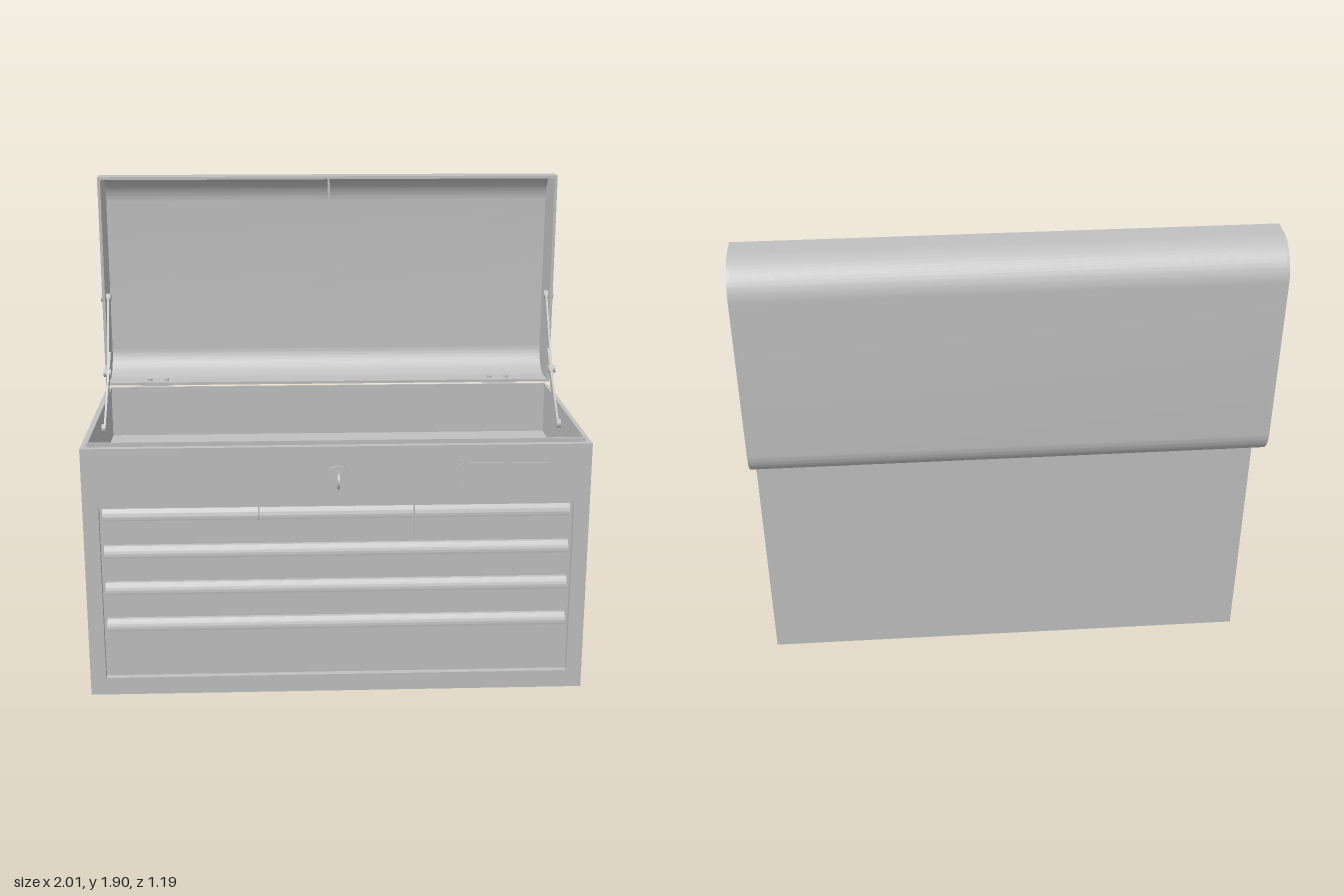
import * as THREE from 'three';
import { toCreasedNormals } from 'three/addons/utils/BufferGeometryUtils.js';

const steel = new THREE.MeshStandardMaterial({ color: 0xc0c0c0 });
steel.name = 'grey steel';

function add(parent, name, geo, x = 0, y = 0, z = 0) {
  const m = new THREE.Mesh(geo, steel);
  m.name = name;
  m.position.set(x, y, z);
  parent.add(m);
  return m;
}
// Box given by its limits
function block(parent, name, x0, x1, y0, y1, z0, z1) {
  return add(parent, name, new THREE.BoxGeometry(x1 - x0, y1 - y0, z1 - z0),
    (x0 + x1) / 2, (y0 + y1) / 2, (z0 + z1) / 2);
}
const rod = (r, len) => new THREE.CylinderGeometry(r, r, len, 24);
const rodX = (r, len) => rod(r, len).rotateZ(Math.PI / 2);
const rodZ = (r, len) => rod(r, len).rotateX(Math.PI / 2);
const dome = (r) => new THREE.SphereGeometry(r, 16, 6, 0, Math.PI * 2, 0, Math.PI / 2).scale(1, 0.5, 1);

function extrude(shape, depth) {
  const g = new THREE.ExtrudeGeometry(shape, { depth, bevelEnabled: false, curveSegments: 14 });
  return toCreasedNormals(g, 0.6);
}
// Profile drawn as (-z, y), swept along +x
const sweepX = (shape, len) => extrude(shape, len).rotateY(Math.PI / 2);
// Plan drawn as (x, -z), raised along +y
const raise = (shape, h) => extrude(shape, h).rotateX(-Math.PI / 2);
const rectPoints = (x0, x1, y0, y1) => [[x0, y0], [x1, y0], [x1, y1], [x0, y1]].map(p => new THREE.Vector2(...p));
function rectFrame(outer, inner) {
  const s = new THREE.Shape(rectPoints(...outer));
  s.holes.push(new THREE.Path(rectPoints(...inner)));
  return s;
}
function roundRect(w, h, r) {
  const s = new THREE.Shape(), a = w / 2, b = h / 2;
  s.moveTo(-a + r, -b);
  s.lineTo(a - r, -b); s.absarc(a - r, -b + r, r, -Math.PI / 2, 0);
  s.lineTo(a, b - r); s.absarc(a - r, b - r, r, 0, Math.PI / 2);
  s.lineTo(-a + r, b); s.absarc(-a + r, b - r, r, Math.PI / 2, Math.PI);
  s.lineTo(-a, -b + r); s.absarc(-a + r, -b + r, r, Math.PI, Math.PI * 1.5);
  return s;
}

function makeBody() {
  const g = new THREE.Group();
  g.name = 'body';
  // Sides and back as a U in plan
  const u = new THREE.Shape([[-0.96, -0.48], [-0.935, -0.48], [-0.935, 0.36], [0.935, 0.36],
    [0.935, -0.48], [0.96, -0.48], [0.96, 0.385], [-0.96, 0.385]].map(p => new THREE.Vector2(...p)));
  add(g, 'sideAndBackWalls', raise(u, 1));
  add(g, 'frontFrame', extrude(rectFrame([-0.96, 0.96, 0, 1], [-0.9, 0.9, 0.07, 0.765]), 0.025), 0, 0, 0.48);
  block(g, 'bottom', -0.935, 0.935, 0, 0.02, -0.36, 0.48);
  block(g, 'trayFloor', -0.935, 0.935, 0.79, 0.8, -0.36, 0.48);
  block(g, 'recessBack', -0.93, 0.93, 0.04, 0.785, 0.455, 0.465);
  add(g, 'innerLip', raise(rectFrame([-0.94, 0.94, -0.475, 0.365], [-0.932, 0.932, -0.467, 0.357]), 0.025), 0, 0.99, 0);
  return g;
}

// Drawer front with a rolled pull along its top edge
function makeDrawer(x0, x1, y0, y1) {
  const s = new THREE.Shape();
  s.moveTo(-0.46, y0);
  s.lineTo(-0.478, y0);
  s.lineTo(-0.478, y1 - 0.05);
  s.lineTo(-0.498, y1 - 0.045);
  s.quadraticCurveTo(-0.503, y1 - 0.02, -0.48, y1);
  s.lineTo(-0.46, y1);
  const m = new THREE.Mesh(sweepX(s, x1 - x0), steel);
  m.position.x = x0;
  m.name = 'drawer';
  return m;
}

function lidProfile(inset) {
  const s = new THREE.Shape(), r = 0.125 - inset;
  const back = 0.59 - inset, top = 1.905 - inset, low = 1.015 + inset;
  s.moveTo(0.387, low);
  s.lineTo(back - r, low);
  s.absarc(back - r, low + r, r, -Math.PI / 2, 0);
  s.lineTo(back, top - r);
  s.absarc(back - r, top - r, r, 0, Math.PI / 2);
  s.lineTo(0.387, top);
  return s;
}
function makeLid() {
  const g = new THREE.Group();
  g.name = 'lid';
  const outer = lidProfile(0).getPoints(14), inner = lidProfile(0.012).getPoints(14);
  add(g, 'lidShell', sweepX(new THREE.Shape([...outer, ...inner.reverse()]), 1.896), -0.948);
  for (const x of [-0.96, 0.948]) add(g, 'lidEnd', sweepX(lidProfile(0), 0.012), x);
  // Catch hook under the front edge
  block(g, 'catchPlate', -0.004, 0.004, 1.81, 1.895, -0.40, -0.385);
  for (const y of [1.815, 1.865]) block(g, 'catchTooth', -0.004, 0.004, y, y + 0.01, -0.387, -0.37);
  block(g, 'catchHook', -0.004, 0.004, 1.815, 1.875, -0.374, -0.368);
  return g;
}

// Bail handle, symmetric about its own centre
function makeHandle() {
  const g = new THREE.Group();
  g.name = 'sideHandle';
  add(g, 'handlePlate', extrude(roundRect(0.355, 0.205, 0.025), 0.006).rotateY(Math.PI / 2), 0, 0.652, 0);
  add(g, 'pivotBarrel', rodX(0.026, 0.24).rotateY(Math.PI / 2), 0.018, 0.635, 0);
  for (const s of [-1, 1]) {
    block(g, 'strap', 0.004, 0.012, 0.655, 0.745, s * 0.14 - 0.018, s * 0.14 + 0.018);
    for (const y of [0.728, 0.59]) add(g, 'rivet', dome(0.018).rotateZ(-Math.PI / 2), y > 0.7 ? 0.012 : 0.006, y, s * 0.14);
  }
  const half = [[0.635, 0.1], [0.635, 0.128], [0.622, 0.142], [0.58, 0.157], [0.51, 0.18], [0.482, 0.183], [0.468, 0.17], [0.468, 0.1]];
  const all = [...half, ...half.slice().reverse().map(([y, z]) => [y, -z])];
  const pts = all.map(([y, z]) => new THREE.Vector3(0.018 + (0.635 - y) * 0.03, y, z));
  add(g, 'bail', new THREE.TubeGeometry(new THREE.CatmullRomCurve3(pts, true), 96, 0.0135, 12, true));
  return g;
}

// Flat bar between two points
function bar(parent, name, a, b, width) {
  const d = b.clone().sub(a);
  const m = add(parent, name, new THREE.BoxGeometry(0.008, width, d.length()));
  m.position.copy(a).add(b).multiplyScalar(0.5);
  m.lookAt(b);
}
function makeStay(s) {
  const g = new THREE.Group();
  g.name = 'lidStay';
  const top = new THREE.Vector3(s * 0.94, 1.39, -0.44);
  const mid = new THREE.Vector3(s * 0.925, 1.125, -0.17);
  const low = new THREE.Vector3(s * 0.926, 0.94, 0.015);
  bar(g, 'upperArm', top, new THREE.Vector3(s * 0.922, 1.10, -0.145), 0.034);
  bar(g, 'lowerArm', new THREE.Vector3(s * 0.918, 1.19, -0.235), low.clone().setX(s * 0.922), 0.034);
  add(g, 'middleRivet', rodX(0.016, 0.03), mid.x, mid.y, mid.z);
  add(g, 'lidRivet', rodX(0.018, 0.04), s * 0.95, top.y, top.z);
  add(g, 'bodyRivet', rodX(0.018, 0.05), s * 0.943, low.y, low.z);
  return g;
}

function makeHinge(x) {
  const g = new THREE.Group();
  g.name = 'hinge';
  // Half-round leaf on the back wall
  const leaf = new THREE.Shape();
  leaf.moveTo(-0.07, 0.1);
  leaf.lineTo(-0.07, 0.06);
  leaf.quadraticCurveTo(-0.06, 0, 0, 0);
  leaf.quadraticCurveTo(0.06, 0, 0.07, 0.06);
  leaf.lineTo(0.07, 0.1);
  add(g, 'wallLeaf', extrude(leaf, 0.006), x, 0.907, -0.391);
  block(g, 'lidLeaf', x - 0.07, x + 0.07, 1.008, 1.016, -0.46, -0.39);
  add(g, 'hingePin', rodX(0.009, 0.14), x, 1.006, -0.397);
  for (const d of [-0.036, 0.036]) {
    add(g, 'wallRivet', rodZ(0.012, 0.012), x + d, 0.965, -0.394);
    add(g, 'lidRivet', rod(0.011, 0.03), x + d, 1.02, -0.43);
  }
  return g;
}

function makeLock() {
  const g = new THREE.Group();
  g.name = 'lock';
  add(g, 'lockRing', rodZ(0.04, 0.014), 0, 0.885, 0.51);
  add(g, 'lockCore', rodZ(0.024, 0.02), 0, 0.885, 0.512);
  add(g, 'lockBarrel', rodZ(0.024, 0.05), 0, 0.885, 0.457);
  block(g, 'lockCam', -0.02, 0.12, 0.87, 0.9, 0.434, 0.44);
  block(g, 'keyShank', -0.004, 0.004, 0.872, 0.898, 0.515, 0.55);
  add(g, 'keyHead', rodX(0.031, 0.008), 0, 0.885, 0.567);
  return g;
}

export function createModel() {
  const model = new THREE.Group();
  model.name = 'toolChest';
  model.add(makeBody(), makeLid(), makeLock());

  // Three small drawers over three wide ones
  const drawers = [[-0.888, -0.301, 0.612, 0.758], [-0.295, 0.289, 0.612, 0.758], [0.295, 0.888, 0.612, 0.758],
    [-0.888, 0.888, 0.463, 0.606], [-0.888, 0.888, 0.313, 0.457], [-0.888, 0.888, 0.08, 0.307]];
  for (const d of drawers) model.add(makeDrawer(...d));

  add(model, 'blankPlate', extrude(roundRect(0.35, 0.1, 0.022), 0.006), 0.63, 0.88, 0.504);

  for (const s of [-1, 1]) {
    const handle = makeHandle();
    handle.position.set(s * 0.96, 0, 0.06);
    if (s < 0) handle.rotation.y = Math.PI;
    model.add(handle, makeStay(s), makeHinge(s * 0.74));
  }
  return model;
}
